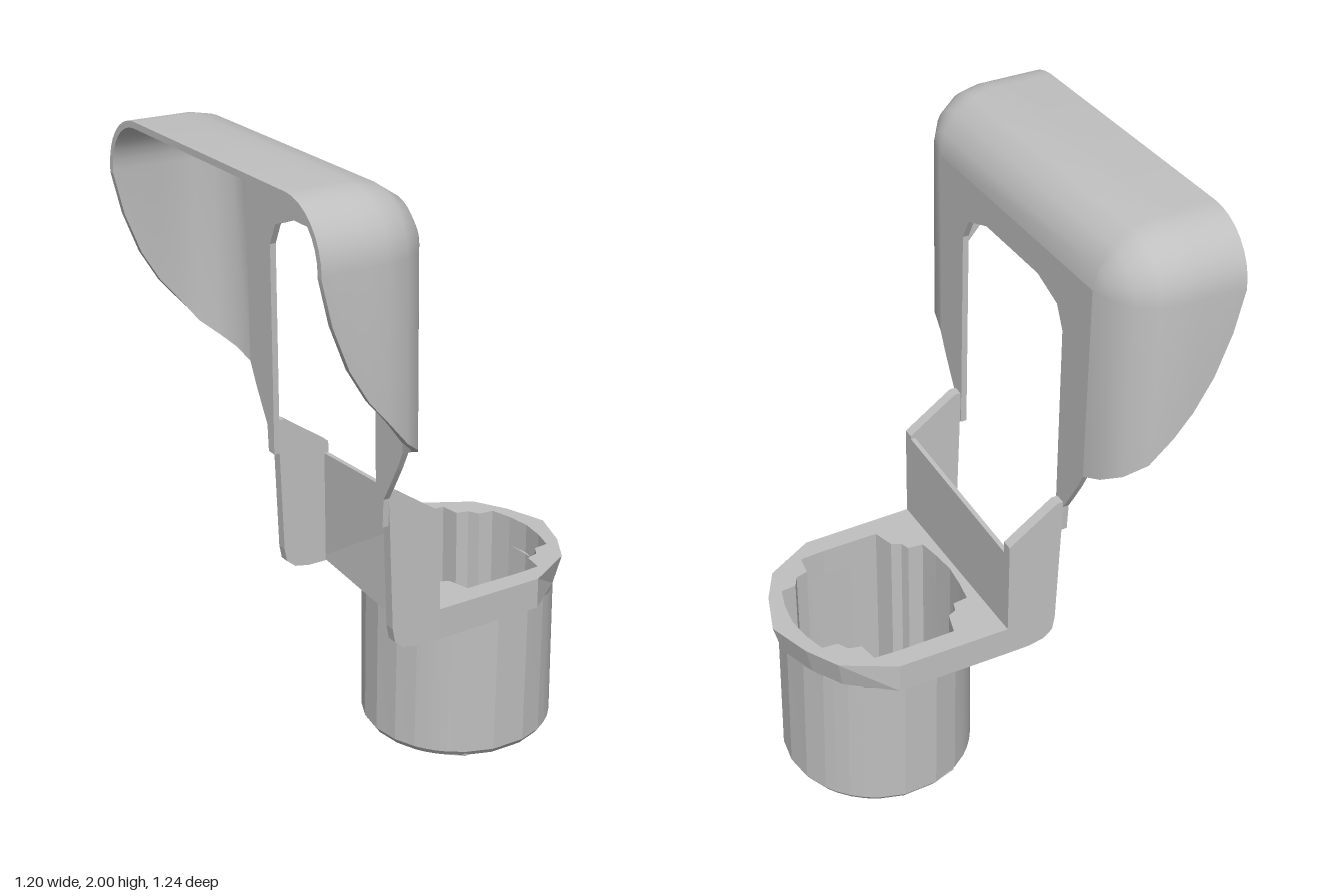
import * as THREE from 'three';
import { toCreasedNormals } from 'three/addons/utils/BufferGeometryUtils.js';

const grey = new THREE.MeshStandardMaterial({ color: 0xc0c0c0, side: THREE.DoubleSide });
grey.name = 'grey plastic';

const part = (name, geometry) => {
  const mesh = new THREE.Mesh(geometry, grey);
  mesh.name = name;
  return mesh;
};

// Skin a grid of points (rows of equal length, each row a closed loop)
function skin(rows, crease, capEnds = false) {
  const n = rows[0].length, index = [];
  for (let i = 0; i < rows.length - 1; i++) {
    for (let j = 0; j < n; j++) {
      const k = (j + 1) % n, a = i * n + j, b = i * n + k;
      index.push(a, b, a + n, b, b + n, a + n);
    }
  }
  if (capEnds) {
    // Each loop runs out along one face and back along the other
    for (const base of [0, (rows.length - 1) * n]) {
      for (let j = 0; j < n / 2 - 1; j++) {
        const a = base + j, b = base + j + 1, c = base + n - 1 - j, d = base + n - 2 - j;
        index.push(a, c, b, b, c, d);
      }
    }
  }
  const g = new THREE.BufferGeometry();
  g.setAttribute('position', new THREE.Float32BufferAttribute(rows.flat(2), 3));
  g.setIndex(index);
  return toCreasedNormals(g, crease);
}

const shapeOf = (pts) => new THREE.Shape(pts.map(([x, y]) => new THREE.Vector2(x, y)));
const extrude = (shape, depth) => new THREE.ExtrudeGeometry(shape, { depth, bevelEnabled: false });

// Hood: rounded shell over the top and both sides, open at the back and below
function hoodGeometry() {
  const R = 0.18, wall = 0.02;
  const side = [[-0.6, 1.81], [-0.57, 1.68], [-0.52, 1.55], [-0.46, 1.45]];
  const cornerBottoms = [1.38, 1.3, 1.255, 1.22, 1.19];
  const profile = (t) => [
    ...side.map(([x, y]) => [x, t, y]),
    ...cornerBottoms.map((y, i) => {
      const a = (i / 4) * Math.PI / 2, r = R - t;
      return [-0.4 + r * Math.sin(a), R - r * Math.cos(a), y];
    }),
  ];
  const loop = [...profile(0), ...profile(wall).reverse()];
  const rows = [];
  for (const s of [1, -1]) {
    const half = [loop.map(([x, d, y]) => [x, y, s * (0.62 - d)])];
    for (let i = 0; i <= 8; i++) {
      const a = (i / 8) * Math.PI / 2;
      half.push(loop.map(([x, d]) => [
        x, 1.82 + (R - d) * Math.sin(a), s * (0.44 + (R - d) * Math.cos(a)),
      ]));
    }
    rows.push(...(s > 0 ? half : half.reverse()));
  }
  return skin(rows, 0.7, true);
}

// Flat panel of the hood, framing the window and narrowing to two legs
function panelGeometry() {
  const half = [[0.44, 1.82], [0.44, 1.19], [0.41, 1.13], [0.37, 1.06], [0.34, 1.01],
    [0.335, 0.92], [0.3, 0.92], [0.295, 1.61], [0.26, 1.68], [0.15, 1.72]];
  const mirrored = half.map(([z, y]) => [-z, y]).reverse();
  return extrude(shapeOf([...half, ...mirrored]), 0.02).rotateY(-Math.PI / 2).translate(-0.22, 0, 0);
}

// Opening of the holder, notched at the four ribs
const CX = 0.255;
const openingHalf = [[0.53, 0], [0.52, 0.08], [0.5, 0.15], [0.45, 0.155], [0.43, 0.19], [0.39, 0.2],
  [0.38, 0.265], [0.3, 0.27], [0.2, 0.27], [0.11, 0.27], [0.09, 0.2], [0.06, 0.185],
  [0.05, 0.155], [0, 0.15], [-0.012, 0.08], [-0.02, 0]];
const opening = [...openingHalf, ...openingHalf.slice(1, -1).reverse().map(([x, z]) => [x, -z])];

// Sleeve: faceted tube, open at both ends, with the ribs inside
function sleeveGeometry() {
  const outer = (y, rx, rz) => opening.map(([x, z]) => {
    const a = Math.atan2(z, x - CX);
    return [CX + rx * Math.cos(a), y, rz * Math.sin(a)];
  });
  const inner = (y) => opening.map(([x, z]) => [x, y, z]);
  return skin([
    outer(0.5, 0.3, 0.325), outer(0.02, 0.308, 0.315), outer(0, 0.295, 0.3),
    inner(0), inner(0.5),
  ], 0.15);
}

// Collar: flat ring around the sleeve, flaring up to a point at the far end
function collarGeometry() {
  const shape = shapeOf([[-0.04, 0.34], [-0.04, -0.34], [0.33, -0.335], [0.49, -0.245],
    [0.55, -0.14], [0.597, 0], [0.55, 0.14], [0.49, 0.245], [0.33, 0.335]]);
  shape.holes.push(new THREE.Path(opening.map(([x, z]) => new THREE.Vector2(x, z))));
  const g = extrude(shape, 0.1).rotateX(-Math.PI / 2).translate(0, 0.5, 0);
  const p = g.attributes.position;
  for (let i = 0; i < p.count; i++) {
    const x = p.getX(i), z = p.getZ(i);
    if (p.getY(i) < 0.55 && Math.hypot(x - CX, z) > 0.29 && x > 0.4) {
      p.setX(i, CX + (x - CX) * 0.92);
      p.setZ(i, z * 0.92);
    }
  }
  g.computeVertexNormals();
  return g;
}

// Arm: side plate joining the collar to a leg of the hood panel
const armShape = shapeOf([[-0.23, 1.03], [-0.2, 1.03], [-0.04, 0.92], [-0.04, 0.5], [-0.12, 0.5],
  [-0.17, 0.51], [-0.2, 0.535], [-0.208, 0.58], [-0.22, 0.98]]);

// Cross plate between the arms, its lower back edge set at a slant
function crossPlateGeometry() {
  const g = new THREE.BoxGeometry(0.015, 0.39, 0.66).toNonIndexed();
  const p = g.attributes.position;
  for (let i = 0; i < p.count; i++) {
    const x = p.getX(i), y = p.getY(i), z = p.getZ(i);
    if (x < 0 && y < 0 && z > 0) p.setX(i, x - 0.045);
    if (y > 0) p.setY(i, y + (z > 0 ? 0.015 : -0.015));
  }
  g.computeVertexNormals();
  return g.translate(-0.0475, 0.7, 0);
}

export function createModel() {
  const model = new THREE.Group();
  model.name = 'hangingHolder';
  model.add(
    part('hood', hoodGeometry()),
    part('windowPanel', panelGeometry()),
    part('sleeve', sleeveGeometry()),
    part('collar', collarGeometry()),
    part('crossPlate', crossPlateGeometry()),
  );
  for (const [name, z] of [['leftArm', 0.305], ['rightArm', -0.34]]) {
    model.add(part(name, extrude(armShape, 0.035).translate(0, 0, z)));
  }
  return model;
}
